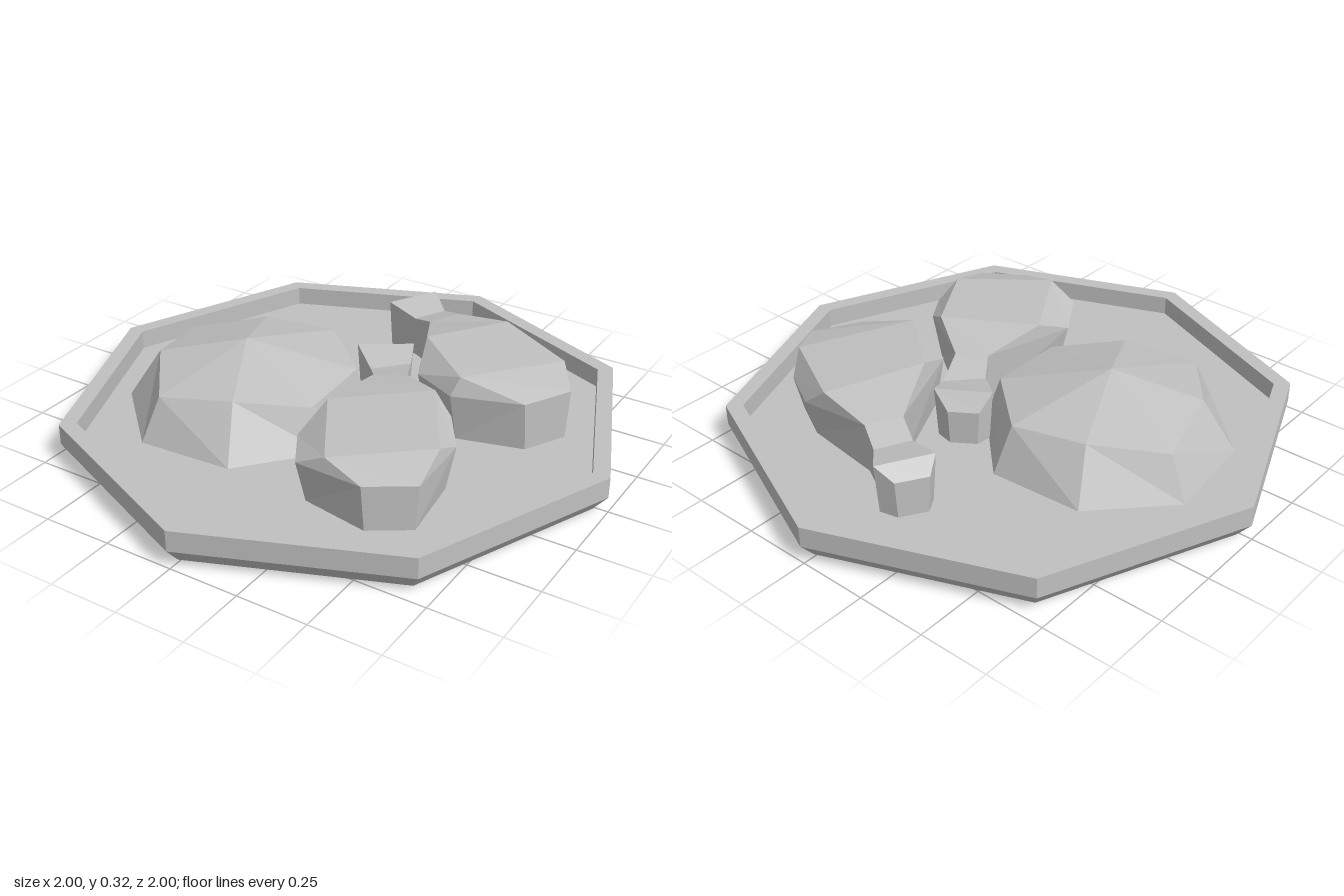
import * as THREE from 'three';

const FLOOR = 0.065;
const stoneGray = new THREE.MeshStandardMaterial({ color: 0xc0c0c0, flatShading: true });
stoneGray.name = 'plain gray';

// Joins rings of [x, y, z] points into a closed faceted solid
function loft(name, rings) {
  const pos = [];
  const v = (p) => new THREE.Vector3(...p);
  const tri = (a, b, c) => {
    const area = v(b).sub(v(a)).cross(v(c).sub(v(a))).length();
    if (area > 1e-7) pos.push(...a, ...b, ...c);
  };
  const n = rings[0].length;
  for (let i = 0; i < rings.length - 1; i++) {
    for (let j = 0; j < n; j++) {
      const k = (j + 1) % n;
      const a = rings[i][j], b = rings[i][k], c = rings[i + 1][k], d = rings[i + 1][j];
      tri(a, d, c);
      tri(a, c, b);
    }
  }
  const first = rings[0], last = rings[rings.length - 1];
  for (let j = 1; j < n - 1; j++) {
    tri(first[0], first[j], first[j + 1]);
    tri(last[0], last[j + 1], last[j]);
  }
  const geo = new THREE.BufferGeometry();
  geo.setAttribute('position', new THREE.Float32BufferAttribute(pos, 3));
  geo.computeVertexNormals();
  const mesh = new THREE.Mesh(geo, stoneGray);
  mesh.name = name;
  return mesh;
}

// Plain section: one flat top edge with upright sides
const bar = (x1, z1, x2, z2, y) => [[x1, y, z1], [x1, y, z1], [x2, y, z2], [x2, y, z2]];

// Drumstick: sections run from the bone knob to the thick end
function drumstick(name, sections) {
  const rings = sections.map((s) => {
    const a = s[0], b = s[3];
    const t = 0.06; // feet tuck in slightly
    const foot = (p, q) => [p[0] + (q[0] - p[0]) * t, FLOOR, p[2] + (q[2] - p[2]) * t];
    return [...s, foot(b, a), foot(a, b)];
  });
  return loft(name, rings);
}

export function createModel() {
  const model = new THREE.Group();
  model.name = 'plateOfFood';

  // Eight-sided plate with a raised rim
  const profile = [[0, 0], [0.95, 0], [1, 0.06], [1, 0.135], [0.94, 0.135], [0.94, FLOOR], [0, FLOOR]]
    .map(([r, y]) => new THREE.Vector2(r, y));
  const plate = new THREE.Mesh(new THREE.LatheGeometry(profile, 8), stoneGray);
  plate.name = 'plate';
  plate.rotation.y = -0.01;
  model.add(plate);

  // Rounded mound: base ring, shoulder ring, peak
  const base = [[-0.78, -0.06], [-0.54, -0.31], [-0.2, -0.33], [0.05, -0.08],
    [0.09, 0.27], [-0.13, 0.53], [-0.48, 0.55], [-0.74, 0.3]].map(([x, z]) => [x, FLOOR, z]);
  const shoulder = [[-0.7, 0.21, -0.03], [-0.48, 0.24, -0.2], [-0.22, 0.23, -0.26], [0.01, 0.22, -0.05],
    [0.02, 0.21, 0.25], [-0.19, 0.245, 0.41], [-0.45, 0.22, 0.48], [-0.63, 0.25, 0.25]];
  const peak = base.map(() => [-0.34, 0.32, 0.12]);
  model.add(loft('mound', [base, shoulder, peak]));

  // Back drumstick
  model.add(drumstick('backDrumstick', [
    bar(-0.18, -0.61, -0.12, -0.71, 0.2),
    bar(-0.15, -0.55, -0.05, -0.73, 0.245),
    bar(-0.02, -0.52, 0.04, -0.64, 0.22),
    bar(0.07, -0.47, 0.13, -0.59, 0.25),
    [[0.23, 0.24, -0.1], [0.18, 0.31, -0.25], [0.34, 0.28, -0.57], [0.44, 0.2, -0.57]],
    [[0.4, 0.24, -0.02], [0.42, 0.305, -0.05], [0.64, 0.27, -0.41], [0.59, 0.2, -0.49]],
    bar(0.64, -0.1, 0.73, -0.27, 0.24),
  ]));

  // Front drumstick
  model.add(drumstick('frontDrumstick', [
    bar(-0.05, -0.23, 0.04, -0.29, 0.19),
    bar(-0.06, -0.17, 0.11, -0.28, 0.25),
    bar(0.05, -0.08, 0.15, -0.19, 0.22),
    bar(0.11, 0, 0.21, -0.06, 0.25),
    [[0.07, 0.2, 0.41], [0.09, 0.27, 0.26], [0.38, 0.29, 0.05], [0.47, 0.24, 0.1]],
    [[0.17, 0.21, 0.57], [0.28, 0.265, 0.57], [0.56, 0.27, 0.34], [0.56, 0.22, 0.23]],
    bar(0.43, 0.6, 0.58, 0.5, 0.225),
  ]));

  return model;
}
